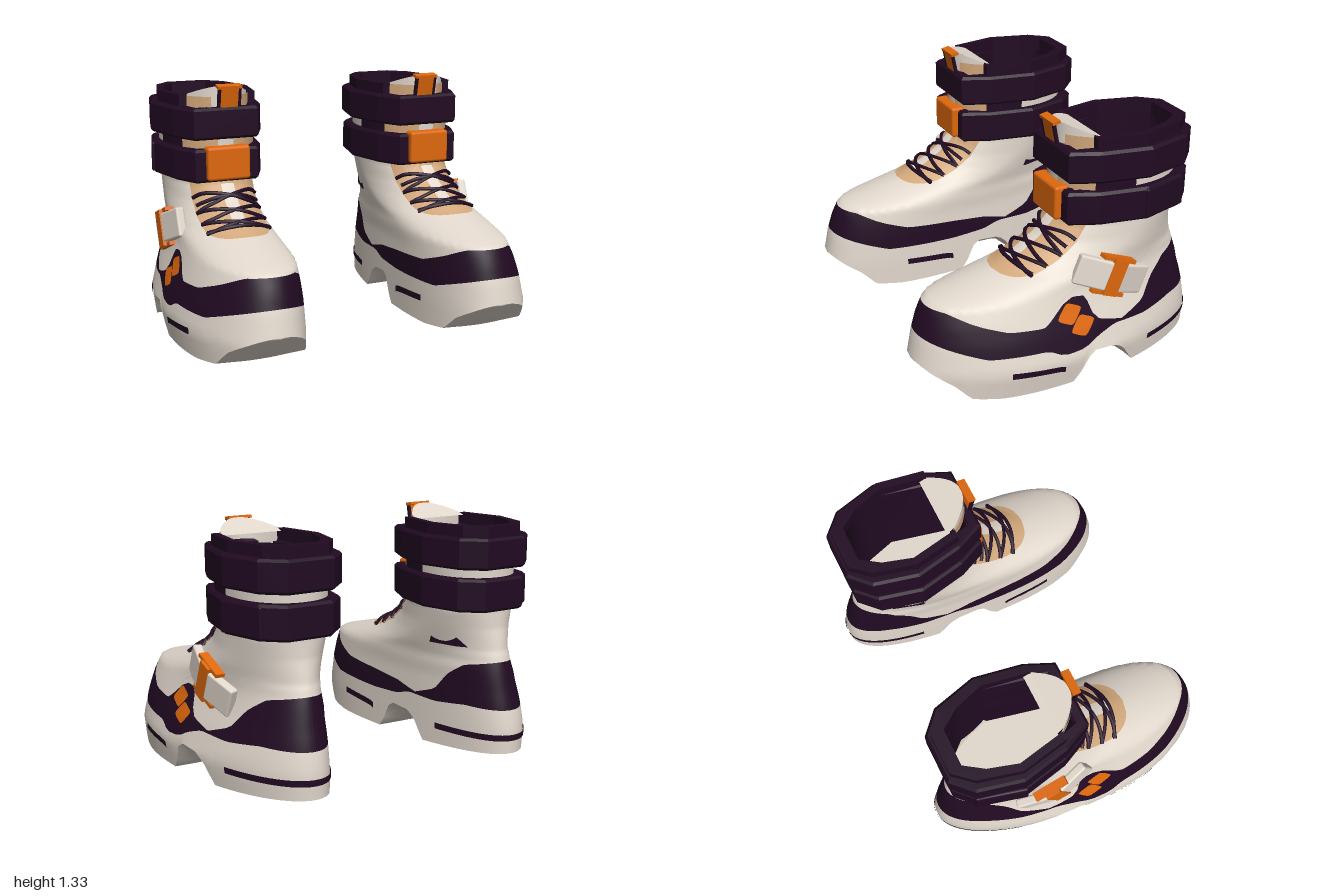
import * as THREE from 'three';
import { RoundedBoxGeometry } from 'three/addons/geometries/RoundedBoxGeometry.js';

const material = (name, color) => {
  const m = new THREE.MeshStandardMaterial({ color, side: THREE.DoubleSide });
  m.name = name;
  return m;
};
const V = (x, y, z) => new THREE.Vector3(x, y, z);
const CX = 0.61; // centre of the ankle

// Horizontal boot sections: height, front z, back z, half width, widest z, centre x, roundness power
const SECTIONS = [
  [0, 0.83, -0.82, 0.305, 0.19, 0.67, 0.95], [0.15, 0.83, -0.825, 0.316, 0.19, 0.683, 0.95],
  [0.3, 0.8, -0.8, 0.292, 0.19, 0.662, 0.93], [0.4, 0.77, -0.77, 0.27, 0.17, 0.645, 0.92],
  [0.48, 0.735, -0.755, 0.258, 0.1, 0.63, 0.94], [0.52, 0.58, -0.74, 0.252, 0.02, 0.628, 1],
  [0.56, 0.42, -0.73, 0.25, -0.1, 0.625, 1.06], [0.583, 0.335, -0.72, 0.248, -0.16, 0.622, 1.1],
  [0.64, 0.2, -0.71, 0.245, -0.25, 0.62, 1.1], [0.705, 0.09, -0.695, 0.24, -0.32, 0.615, 1.03],
  [0.8, -0.01, -0.69, 0.238, -0.37, CX, 0.92], [1.2, 0, -0.7, 0.25, -0.37, CX, 0.9],
];
const BAND_TOP = [[-0.8, 0.53], [-0.6, 0.5], [-0.5, 0.44], [-0.4, 0.33], [-0.25, 0.28], [-0.1, 0.32], [0.1, 0.34], [0.4, 0.36], [0.6, 0.42], [0.72, 0.465], [0.8, 0.475]];
const BAND_LOW = [[-0.8, 0.27], [-0.6, 0.28], [-0.4, 0.26], [-0.2, 0.27], [-0.1, 0.24], [0.1, 0.23], [0.5, 0.24], [0.7, 0.3], [0.8, 0.33]];
const EDGE = [[-0.82, 0.03], [-0.32, 0.01], [-0.24, 0.13], [-0.18, 0.16], [-0.06, 0.17], [0, 0.13], [0.03, 0.005], [0.45, 0.005], [0.6, 0.02], [0.68, 0.1], [0.83, 0.19]];
const KEEL = [[-0.82, 0.03], [-0.3, 0.01], [-0.25, 0.05], [0, 0.05], [0.03, 0], [0.58, 0], [0.68, 0.07], [0.83, 0.19]];

// Linear interpolation of a table sorted on its first column
function row(table, k) {
  if (k <= table[0][0]) return table[0];
  for (let i = 1; i < table.length; i++) {
    const a = table[i - 1], b = table[i];
    if (k <= b[0]) return a.map((n, j) => n + (b[j] - n) * (k - a[0]) / (b[0] - a[0]));
  }
  return table[table.length - 1];
}
const spow = (n, p) => Math.sign(n) * Math.abs(n) ** p;
// Centre line, curving inwards at toe and heel
const centreX = (y, z) => CX + (row(SECTIONS, y)[5] - CX) * (1 - z * z);

// Point on the boot wall at an angle and height
function surf(angle, y, off = 0) {
  const [, zf, zb, hw, zc, , pw] = row(SECTIONS, y);
  const c = Math.cos(angle), s = Math.sin(angle);
  const z = zc + ((s > 0 ? zf - zc : zc - zb) + off) * spow(s, pw);
  return V(centreX(y, z) + (hw + off) * spow(c, pw), y, z);
}
// Point on the outer (+1) or inner (-1) wall at a given z
function sidePoint(dir, z, y, off) {
  const [, zf, zb, , zc, , pw] = row(SECTIONS, y);
  const s = spow(THREE.MathUtils.clamp((z - zc) / (z > zc ? zf - zc : zc - zb), -1, 1), 1 / pw);
  return surf(dir > 0 ? Math.asin(s) : Math.PI - Math.asin(s), y, off);
}
// Point on the instep at a given sideways distance and z
function instepPoint(dx, z, off) {
  let lo = 0.42, hi = 0.84, p;
  for (let i = 0; i < 24; i++) {
    const y = (lo + hi) / 2, [, , , hw, , , pw] = row(SECTIONS, y);
    p = surf(Math.acos(spow(THREE.MathUtils.clamp(dx / hw, -1, 1), 1 / pw)), y);
    if (p.z > z) lo = y; else hi = y;
  }
  return p.add(V(dx * off * 3, off, off * 0.8));
}
// Surface from a rule f(u, v), both 0 to 1
function grid(nu, nv, f) {
  const pos = [], idx = [];
  for (let j = 0; j <= nv; j++) for (let i = 0; i <= nu; i++) pos.push(...f(i / nu, j / nv, j).toArray());
  for (let j = 0; j < nv; j++) for (let i = 0; i < nu; i++) {
    const a = j * (nu + 1) + i, b = a + nu + 1;
    idx.push(a, b, a + 1, a + 1, b, b + 1);
  }
  const g = new THREE.BufferGeometry();
  g.setAttribute('position', new THREE.Float32BufferAttribute(pos, 3));
  g.setIndex(idx);
  g.computeVertexNormals();
  return g;
}
// Symmetric outline from half of its points, front to back
const mirrored = (half) => [...half, ...half.slice().reverse().map(([x, z]) => [-x, z])]
  .map(([x, z]) => new THREE.Vector2(x, -z));
function slab(points, hole, y0, y1, bevel = 0) {
  const shape = new THREE.Shape(points);
  if (hole) shape.holes.push(new THREE.Path(hole));
  const g = new THREE.ExtrudeGeometry(shape, { depth: y1 - y0 - 2 * bevel, bevelEnabled: bevel > 0, bevelSize: bevel, bevelOffset: -bevel, bevelThickness: bevel, bevelSegments: 1 });
  return g.rotateX(-Math.PI / 2).translate(CX, y0 + bevel, 0);
}

export function createModel() {
  const cream = material('cream', 0xe2d8cd), purple = material('dark purple', 0x210a22);
  const orange = material('orange', 0xdf680c), tan = material('tan', 0xd3a87c);
  const boot = new THREE.Group();
  boot.name = 'leftBoot';
  const add = (name, geometry, mat, parent = boot) => {
    const m = new THREE.Mesh(geometry, mat);
    m.name = name;
    parent.add(m);
    return m;
  };

  // Boot shell: sole wall, wavy band, upper and ankle in one smooth skin
  const counts = [5, 4, 20, 2], N = 160, total = 31;
  const angleOf = (u) => -Math.PI / 2 + u * Math.PI * 2;
  const edgeY = (a) => row(EDGE, surf(a, 0.1).z)[1];
  const shell = grid(N, total, (u, v, j) => {
    const a = angleOf(u), z = surf(a, 0.35).z;
    const bump = Math.cos(a) > 0 ? Math.exp(-(((z - 0.05) / 0.115) ** 4)) : 0;
    const stops = [edgeY(a), row(BAND_LOW, z)[1] - 0.04 * bump, row(BAND_TOP, z)[1] + 0.125 * bump, 0.8, 1.2];
    let k = 0;
    while (j > counts[k]) j -= counts[k++];
    return surf(a, stops[k] + (stops[k + 1] - stops[k]) * j / counts[k]);
  });
  let start = 0;
  counts.forEach((n, k) => {
    shell.addGroup(start, n * N * 6, k === 1 ? 1 : 0);
    start += n * N * 6;
  });
  add('bootShell', shell, [cream, purple]);

  // Underside with raised toe and notched arch
  add('soleBottom', grid(N, 5, (u, v) => {
    const a = angleOf(u), y = edgeY(a), p = surf(a, y), xc = centreX(y, p.z);
    return V(xc + (p.x - xc) * v, y + (row(KEEL, p.z)[1] - y) * (1 - v * v), p.z);
  }), cream);

  // Painted sole grooves: one around the heel, one on each side of the toe
  add('heelStripe', grid(48, 1, (u, v) => surf(-Math.PI + 0.62 + (Math.PI - 1.24) * u, 0.103 + v * 0.034, 0.005)), purple);
  for (const dir of [1, -1]) {
    add('toeStripe', grid(16, 1, (u, v) => {
      const t = dir > 0 ? u : 1 - u;
      return sidePoint(dir, 0.12 + 0.29 * t, 0.112 + 0.03 * Math.sqrt(t) + (v - 0.5) * 0.034, 0.005);
    }), purple);
  }

  // Two rounded patches on the outer band
  for (const [cz, cy] of [[0.066, 0.388], [0, 0.317]]) {
    add('sidePatch', grid(10, 10, (u, v) => {
      const a = 2 * v - 1, b = 1 - 2 * u;
      const p = a * Math.sqrt(1 - 0.2 * b ** 4) * 1.2, q = b * Math.sqrt(1 - 0.2 * a ** 4) * 1.1;
      return sidePoint(1, cz - p * 0.028 - q * 0.04, cy + p * 0.033 - q * 0.018, 0.008);
    }), orange);
  }

  // Lace panel, tongue strip and laces
  add('lacePanel', grid(24, 30, (u, v) => {
    const z = -0.11 + 0.465 * (1 - v), w = 0.175 * Math.sqrt(Math.max(0, 1 - (Math.max(z, 0) / 0.355) ** 4));
    return instepPoint((1 - 2 * u) * w, z, 0.006);
  }), tan);
  add('tongueStrip', grid(4, 14, (u, v) => instepPoint((0.5 - u) * 0.07, 0.25 * (1 - v), 0.009)), cream);
  // Each lace sweeps back at its ends
  const lace = (name, x0, z0, x1, z1) => {
    const pts = [];
    for (let i = 0; i <= 12; i++) {
      const x = x0 + (x1 - x0) * i / 12;
      pts.push(instepPoint(x, z0 + (z1 - z0) * i / 12 - 0.06 * (x / 0.17) ** 2, 0.01));
    }
    add(name, new THREE.TubeGeometry(new THREE.CatmullRomCurve3(pts), 24, 0.011, 6), purple);
  };
  for (let i = 0; i < 3; i++) {
    const z = 0.015 + i * 0.085;
    for (const s of [1, -1]) lace('crossLace', s * 0.172, z, -s * 0.172, z + 0.085);
  }
  for (const z of [0.06, 0.26]) lace('straightLace', -0.165, z, 0.165, z);

  // Ankle straps, collar and lining
  const hole = mirrored([[0.14, -0.055], [0.22, -0.39], [0.17, -0.55], [0.1, -0.65]]);
  const strap = mirrored([[0.18, 0.015], [0.25, -0.14], [0.3, -0.4], [0.24, -0.64], [0.13, -0.745]]);
  add('upperStrap', slab(strap, hole, 1.04, 1.21, 0.014), purple);
  add('lowerStrap', slab(strap.map((p) => p.clone().multiplyScalar(0.985)), hole, 0.81, 0.99, 0.014), purple);
  const flap = add('strapFlap', new RoundedBoxGeometry(0.04, 0.165, 0.28, 2, 0.012), purple);
  flap.position.set(CX + 0.25, 0.9, -0.51);
  flap.rotation.y = 0.27;
  add('collar', slab(mirrored([[0.175, -0.13], [0.215, -0.13], [0.262, -0.39], [0.2, -0.62], [0.11, -0.72]])
    .concat(mirrored([[0.172, -0.13], [0.22, -0.39], [0.17, -0.55], [0.1, -0.65]]).reverse()), null, 1.2, 1.27), purple);
  add('lining', grid(hole.length, 1, (u, v) => {
    const p = hole[Math.round(u * hole.length) % hole.length];
    return V(CX + p.x, 0.6 + 0.6 * v, -p.y);
  }), purple);
  add('footbed', new THREE.ShapeGeometry(new THREE.Shape(hole)).rotateX(-Math.PI / 2).translate(CX, 0.6, 0), cream);
  for (const [name, from, to, mat] of [['ankleTrim', 0.66, 1.42, tan], ['ankleGusset', 0.06, 0.66, purple]]) {
    for (const [a0, a1] of [[from, to], [Math.PI - to, Math.PI - from]]) {
      add(name, grid(12, 1, (u, v) => surf(a0 + (a1 - a0) * u, 0.985 + 0.06 * v, 0.006)), mat);
    }
  }

  // Front strap buckle
  add('frontBuckle', new RoundedBoxGeometry(0.24, 0.182, 0.08, 3, 0.016), orange).position.set(0.608, 0.914, 0.01);

  // Curved tongue with tan facings, t runs from -1 to 1 across it
  const tonguePoint = (t, y, off) => V(CX + (0.168 + off) * t, y, -0.01 + off - 0.125 * t * t);
  const tongueTop = (t) => 1.325 - 0.05 * t * t;
  add('tongue', grid(20, 1, (u, v) => {
    const t = 1 - 2 * u;
    return tonguePoint(t, 1.19 + v * (tongueTop(t) - 1.19), 0);
  }), cream);
  for (const s of [1, -1]) {
    add('tongueFacing', grid(8, 1, (u, v) => {
      const t = s > 0 ? 1 - 0.6 * u : -0.4 - 0.6 * u;
      return tonguePoint(t, 1.19 + 0.075 * v, 0.005);
    }), tan);
  }
  // Sloping flap folded back from the top of the tongue
  add('tongueFlap', grid(4, 12, (u, v) => {
    const t = Math.min(1, v * 1.15), edge = tonguePoint(t, tongueTop(t), 0);
    const back = Math.max(0, v * 1.15 - 1);
    return V(CX + (2 * u - 1) * (edge.x - CX), edge.y - back * 0.1, edge.z - back * 0.28);
  }).scale(1, 1, 1), cream);

  // Pull tab leaning forward over the tongue
  const tab = new THREE.Group();
  tab.name = 'pullTab';
  tab.position.set(0.59, 1.268, 0.012);
  tab.rotation.x = 0.2;
  boot.add(tab);
  add('tabFront', new THREE.BoxGeometry(0.1, 0.115, 0.014), orange, tab);
  add('tabTop', new THREE.BoxGeometry(0.135, 0.016, 0.045), orange, tab).position.set(0, 0.052, -0.012);
  for (const s of [1, -1]) add('tabEdge', new THREE.BoxGeometry(0.016, 0.1, 0.016), purple, tab).position.set(s * 0.057, -0.008, 0);

  // Outer side strap and its buckle
  const clasp = new THREE.Group();
  clasp.name = 'sideClasp';
  clasp.position.set(0.885, 0.53, -0.2);
  clasp.rotation.x = -0.38;
  boot.add(clasp);
  for (const s of [1, -1]) {
    const piece = add('claspStrap', new RoundedBoxGeometry(0.05, 0.16, 0.19, 2, 0.012), cream, clasp);
    piece.position.set(0.004, 0, s * 0.125);
    piece.rotation.y = -s * 0.24;
    add('claspBar', new THREE.BoxGeometry(0.05, 0.02, 0.2), orange, clasp).position.set(0.008, s * 0.095, 0);
  }
  add('claspPlate', new THREE.BoxGeometry(0.045, 0.2, 0.085), orange, clasp).position.x = 0.03;

  // The right boot mirrors the left
  const rightBoot = boot.clone();
  rightBoot.name = 'rightBoot';
  rightBoot.scale.x = -1;
  const model = new THREE.Group();
  model.name = 'boots';
  model.add(boot, rightBoot);
  return model;
}
